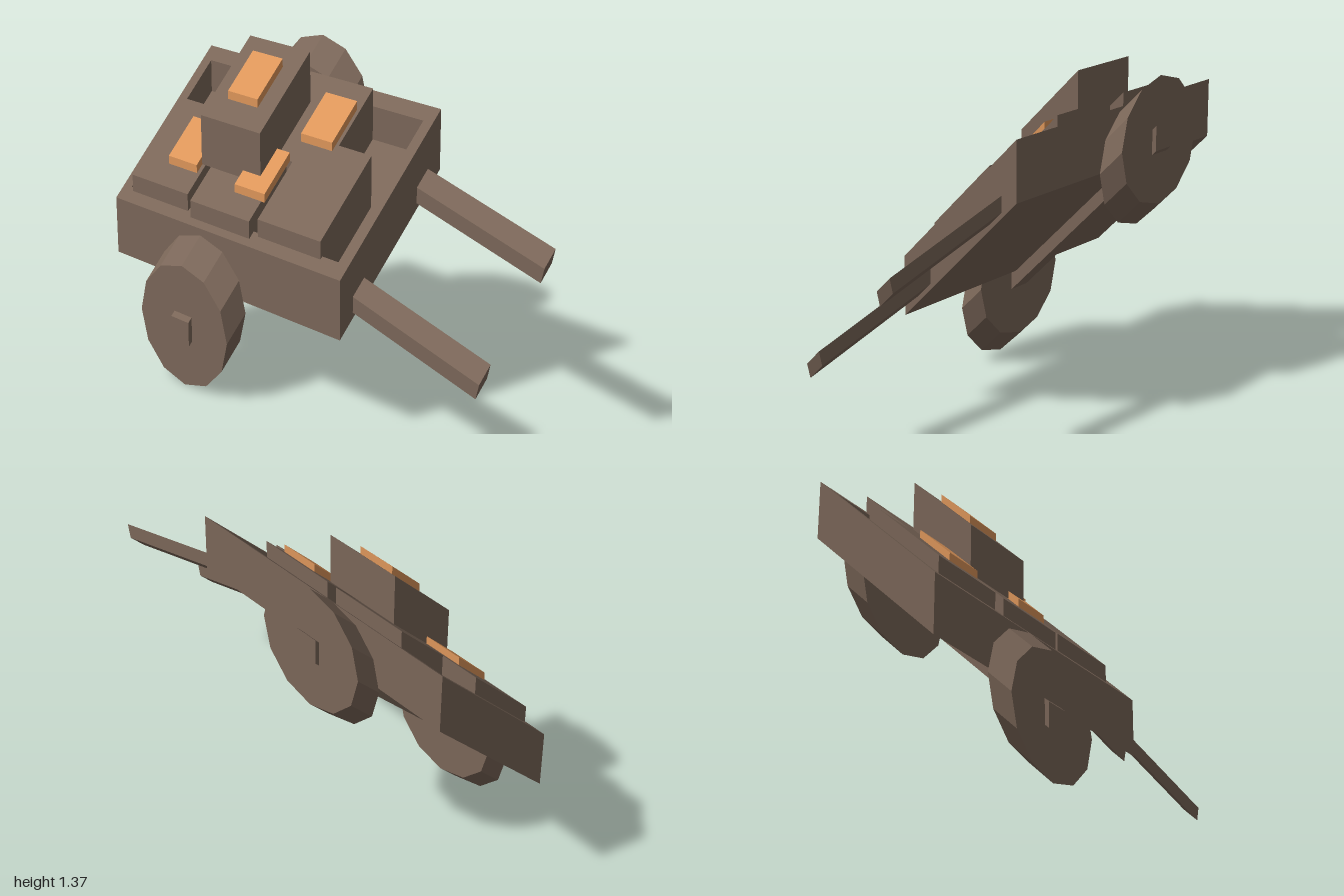
import * as THREE from 'three';

const wood = new THREE.MeshStandardMaterial({ color: 0x7a6658 });
wood.name = 'brown wood';
const orange = new THREE.MeshStandardMaterial({ color: 0xdd965a });
orange.name = 'orange label';

// The whole cart leans: height rises by one unit for each unit towards the back
const lean = new THREE.Matrix4().set(
  1, 0, 0, 0,
  0, 1, -1, 0,
  0, 0, 1, 0,
  0, 0, 0, 1
);

export function createModel() {
  const cart = new THREE.Group();
  cart.name = 'handcart';

  function add(name, geometry, material = wood) {
    const flat = geometry.index ? geometry.toNonIndexed() : geometry;
    flat.applyMatrix4(lean);
    flat.computeVertexNormals();
    const mesh = new THREE.Mesh(flat, material);
    mesh.name = name;
    cart.add(mesh);
  }

  // Box from its centre in x and z, and its bottom height
  function box(w, h, d, x, bottom, z) {
    return new THREE.BoxGeometry(w, h, d).translate(x, bottom + h / 2, z);
  }

  // Bed: solid floor with a raised rim
  const floorTop = 0.803;
  const rimTop = 0.943;
  add('bedFloor', box(1.35, floorTop - 0.693, 0.566, -0.325, 0.693, 0));

  const rectangle = (path, x0, x1, y) => {
    path.moveTo(x0, -y);
    path.lineTo(x1, -y);
    path.lineTo(x1, y);
    path.lineTo(x0, y);
    path.closePath();
    return path;
  };
  const rim = rectangle(new THREE.Shape(), -1, 0.35, 0.283);
  rim.holes.push(rectangle(new THREE.Path(), -0.95, 0.3, 0.235));
  add('bedRim', new THREE.ExtrudeGeometry(rim, { depth: rimTop - floorTop, bevelEnabled: false })
    .rotateX(-Math.PI / 2).translate(0, floorTop, 0));

  // Axle, wheels and handles
  const axleX = -0.433;
  add('axle', box(0.106, 0.106, 0.856, axleX, 0.627, 0));
  for (const side of [1, -1]) {
    add(side > 0 ? 'frontWheel' : 'backWheel',
      new THREE.CylinderGeometry(0.267, 0.267, 0.105, 12)
        .rotateX(Math.PI / 2).translate(axleX, 0.68, side * 0.357));

    const length = 0.69;
    add(side > 0 ? 'frontHandle' : 'backHandle',
      new THREE.BoxGeometry(length, 0.064, 0.063)
        .translate(-length / 2, 0, 0)
        .rotateZ(-0.244)
        .translate(0.992, 0.591, side * 0.18));
  }

  // Crates: [name, x, bottom, z, label x, label z]
  const crates = [
    ['frontLeftCrate', 0.028, floorTop, 0.103],
    ['frontMiddleCrate', -0.363, floorTop, 0.118, -0.254, 0.12],
    ['frontRightCrate', -0.752, floorTop, 0.103, -0.682, 0.103],
    ['backLeftCrate', -0.152, floorTop, -0.093, -0.079, -0.089],
    ['backRightCrate', -0.577, floorTop, -0.11],
    ['topCrate', -0.417, 1.018, 0.001, -0.417, -0.001]
  ];
  const crateHeight = 0.214;
  for (const [name, x, bottom, z, labelX, labelZ] of crates) {
    add(name, box(0.356, crateHeight, 0.285, x, bottom, z));
    if (labelX !== undefined) {
      add(name + 'Label', box(0.177, 0.036, 0.143, labelX, bottom + crateHeight - 0.001, labelZ), orange);
    }
  }

  return cart;
}
